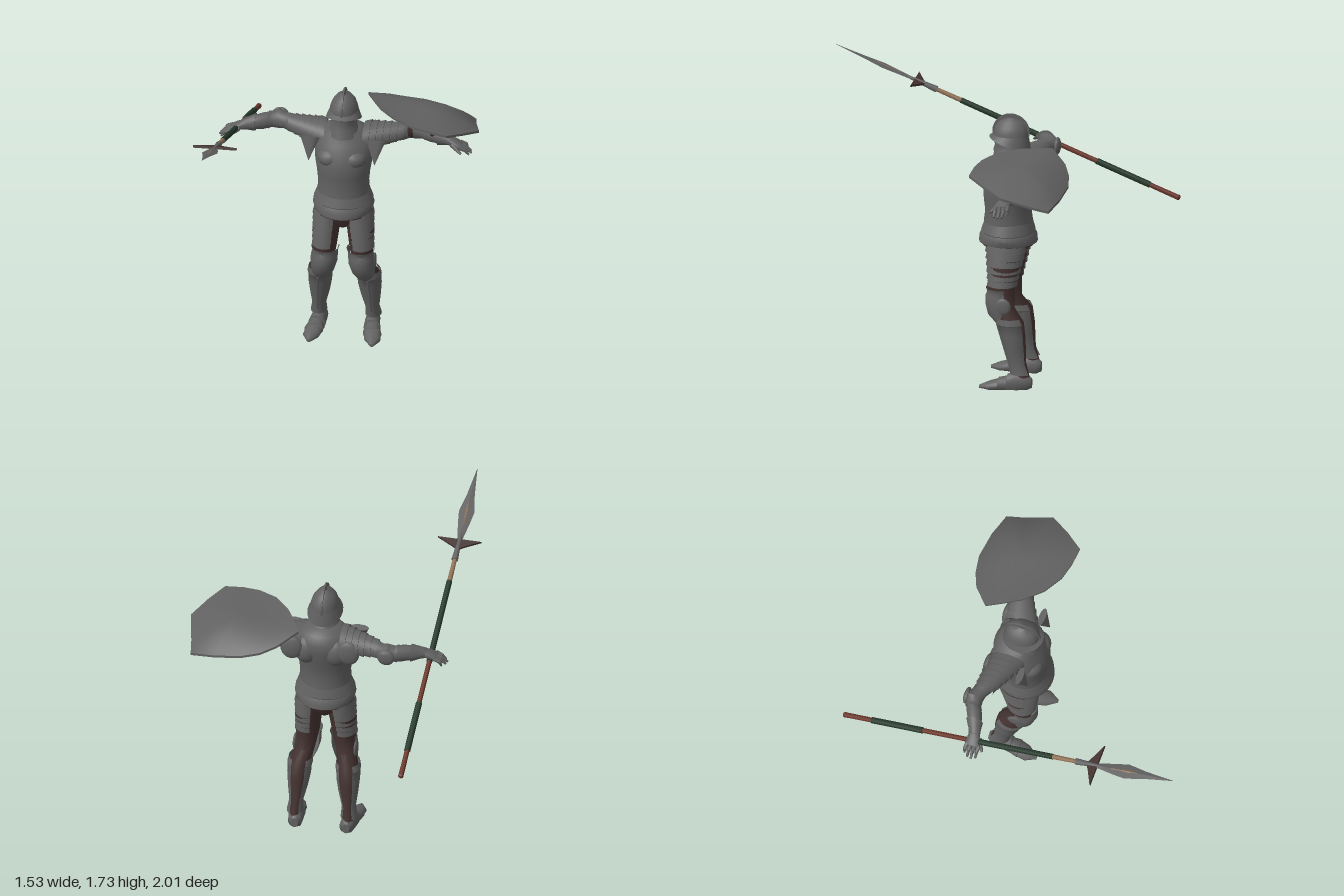
import * as THREE from 'three';
import { mergeVertices, toCreasedNormals } from 'three/addons/utils/BufferGeometryUtils.js';

const PI = Math.PI;
const material = (name, color, side = THREE.FrontSide) => {
  const m = new THREE.MeshStandardMaterial({ color, side });
  m.name = name;
  return m;
};

// Surface through rows of points
function grid(rows) {
  const w = rows[0].length, pos = rows.flat(2), idx = [];
  for (let r = 0; r < rows.length - 1; r++) for (let i = 0; i < w - 1; i++) {
    const a = r * w + i, b = a + w;
    idx.push(a, b, a + 1, a + 1, b, b + 1);
  }
  const g = new THREE.BufferGeometry();
  g.setAttribute('position', new THREE.Float32BufferAttribute(pos, 3));
  g.setIndex(idx);
  return g;
}

// Elliptical sections [x, y, z, r1, r2] stacked along an axis; a0..a1 leaves part of the ring open
function loft(secs, { axis = 'y', n = 24, a0 = 0, a1 = 2 * PI, cap = a1 - a0 > 6.2 } = {}) {
  const ring = ([x, y, z, p, q]) => Array.from({ length: n + 1 }, (_, i) => {
    const a = a0 + (a1 - a0) * i / n, c = p * Math.cos(a), s = q * Math.sin(a);
    return axis === 'y' ? [x + c, y, z + s] : axis === 'x' ? [x, y + c, z - s] : [x + c, y - s, z];
  });
  const ends = ([x, y, z]) => ring([x, y, z, 0, 0]);
  const rows = secs.map(ring);
  if (cap) { rows.unshift(ends(secs[0])); rows.push(ends(secs.at(-1))); }
  return grid(rows);
}

// Overlapping plates between two sections; the first edge of each plate flares outward
function lames(from, to, count, flare = 1.08) {
  const out = [];
  for (let i = 0; i < count; i++) for (const [t, f] of [[i / count, flare], [(i + 1) / count, 0.98]])
    out.push(from.map((v, k) => (v + (to[k] - v) * t) * (k > 2 ? f : 1)));
  return out;
}

// Tapered rod between two points
function rod(a, b, r0, r1, n = 10) {
  const A = new THREE.Vector3(...a), d = new THREE.Vector3(...b).sub(A);
  const g = new THREE.CylinderGeometry(r1, r0, d.length(), n).translate(0, d.length() / 2, 0);
  g.applyQuaternion(new THREE.Quaternion().setFromUnitVectors(new THREE.Vector3(0, 1, 0), d.normalize()));
  return g.translate(...a);
}

const ball = (x, y, z, rx, ry, rz) => new THREE.SphereGeometry(1, 20, 12).scale(rx, ry, rz).translate(x, y, z);

function finish(geo, mirrored, crease) {
  let g = geo.clone();
  g.deleteAttribute('uv');
  g.deleteAttribute('normal');
  g = mergeVertices(g, 1e-5);
  if (mirrored) g.scale(-1, 1, 1);
  const src = g.index.array, idx = [];
  for (let i = 0; i < src.length; i += 3) {
    const [a, b, c] = src.slice(i, i + 3);
    if (a !== b && b !== c && a !== c) idx.push(...(mirrored ? [a, c, b] : [a, b, c]));
  }
  g.setIndex(idx);
  return toCreasedNormals(g, crease);
}

export function createModel() {
  const model = new THREE.Group();
  const steel = material('steel', 0x616161, THREE.DoubleSide);
  const cloth = material('dark brown cloth', 0x443331, THREE.DoubleSide);
  const red = material('red shaft', 0x6a362b);
  const green = material('green grip', 0x26382b);
  const tan = material('tan wood', 0x8f7155);
  const dark = material('dark slit', 0x262626);

  const add = (name, geo, mat, parent = model, mirrored = false, crease = 0.7) => {
    const m = new THREE.Mesh(finish(geo, mirrored, crease), mat);
    m.name = name;
    parent.add(m);
  };
  const pair = (name, geo, mat) => {
    add(name + 'Left', geo, mat);
    add(name + 'Right', geo, mat, model, true);
  };

  // Torso: pelvis, skirt plates, breastplate
  add('pelvis', loft([[0, 0.73, -0.125, 0.04, 0.06], [0, 0.78, -0.13, 0.12, 0.1], [0, 0.88, -0.13, 0.15, 0.13]]), cloth);
  add('skirtPlates', loft([[0, 0.84, -0.125, 0.165, 0.168], [0, 0.875, -0.125, 0.176, 0.165],
    [0, 0.9, -0.125, 0.166, 0.152], [0, 0.905, -0.125, 0.172, 0.155], [0, 0.985, -0.128, 0.142, 0.13]], { n: 32, cap: false }), steel);
  add('breastplate', loft([[0, 0.96, -0.125, 0.15, 0.14], [0, 1.02, -0.125, 0.146, 0.132], [0, 1.09, -0.127, 0.153, 0.142],
    [0, 1.15, -0.132, 0.163, 0.15], [0, 1.22, -0.15, 0.17, 0.152], [0, 1.28, -0.168, 0.165, 0.138],
    [0, 1.33, -0.17, 0.13, 0.11], [0, 1.36, -0.155, 0.08, 0.085]], { n: 32 }), steel);
  pair('chestMuscle', ball(0.068, 1.195, -0.07, 0.075, 0.06, 0.075), steel);
  pair('shoulderBlade', ball(0.085, 1.22, -0.24, 0.075, 0.09, 0.065), steel);
  add('belt', loft([[0, 0.825, -0.125, 0.163, 0.15], [0, 0.85, -0.125, 0.163, 0.15]]), cloth);

  // Neck, face and open helmet
  add('throatGuard', loft([...lames([0, 1.32, -0.145, 0.085, 0.1], [0, 1.41, -0.13, 0.066, 0.085], 3),
    [0, 1.44, -0.128, 0.066, 0.084]]), steel);
  add('face', ball(0, 1.46, -0.13, 0.062, 0.075, 0.075), steel);
  pair('eyeSlit', new THREE.BoxGeometry(0.034, 0.008, 0.008).rotateY(0.3).translate(0.026, 1.465, -0.058), dark);
  add('helmetBowl', loft([[0, 1.45, -0.14, 0.084, 0.102], [0, 1.49, -0.14, 0.08, 0.1], [0, 1.525, -0.14, 0.068, 0.09],
    [0, 1.555, -0.14, 0.046, 0.065], [0, 1.575, -0.14, 0.012, 0.02]], { cap: false }), steel);
  const brim = loft([[0, 1.425, -0.135, 0.102, 0.12], [0, 1.475, -0.14, 0.082, 0.1]], { cap: false });
  const bp = brim.attributes.position;
  for (let i = 0; i < bp.count; i++) if (bp.getY(i) < 1.45) bp.setY(i, 1.425 + 0.32 * (bp.getZ(i) + 0.135));
  add('helmetBrim', brim, steel);
  add('helmetComb', new THREE.CylinderGeometry(1, 1, 0.01, 28).rotateZ(PI / 2).scale(1, 0.108, 0.108).translate(0, 1.49, -0.14), steel);

  // Legs: cloth under plates that stay open at the back and inside
  pair('legCloth', loft([[0.155, 0.06, -0.235, 0.03, 0.045], [0.15, 0.15, -0.212, 0.035, 0.044], [0.145, 0.3, -0.185, 0.058, 0.066],
    [0.14, 0.39, -0.165, 0.06, 0.075], [0.118, 0.47, -0.12, 0.056, 0.062], [0.105, 0.58, -0.105, 0.066, 0.078],
    [0.1, 0.7, -0.12, 0.077, 0.093], [0.085, 0.83, -0.13, 0.078, 0.11]]), cloth);
  pair('thighPlates', loft(lames([0.105, 0.6, -0.108, 0.07, 0.08], [0.087, 0.84, -0.13, 0.083, 0.116], 6),
    { a0: -0.6 * PI, a1: 0.68 * PI }), steel);
  pair('kneePlate', loft([[0.128, 0.38, -0.125, 0.05, 0.045], [0.118, 0.43, -0.105, 0.066, 0.075], [0.108, 0.49, -0.1, 0.075, 0.088],
    [0.104, 0.54, -0.1, 0.074, 0.087], [0.102, 0.56, -0.1, 0.072, 0.078], [0.102, 0.585, -0.1, 0.08, 0.085]],
    { a0: -0.12 * PI, a1: 1.12 * PI }), steel);
  pair('kneeWing', ball(0.177, 0.49, -0.125, 0.012, 0.05, 0.045), steel);
  pair('shinPlate', loft([[0.157, 0.09, -0.225, 0.047, 0.06], [0.153, 0.15, -0.207, 0.04, 0.052], [0.147, 0.24, -0.192, 0.057, 0.064],
    [0.143, 0.32, -0.178, 0.068, 0.075], [0.141, 0.38, -0.165, 0.069, 0.08], [0.14, 0.385, -0.163, 0.073, 0.085],
    [0.138, 0.42, -0.155, 0.068, 0.076]], { a0: -0.32 * PI, a1: 1.3 * PI }), steel);
  pair('shinRidge', rod([0.155, 0.13, -0.16], [0.143, 0.38, -0.085], 0.005, 0.007, 6), steel);

  // Feet: plated shoes flattened on the ground
  const shoe = loft([[0.15, 0.035, -0.288, 0.022, 0.03], [0.15, 0.035, -0.265, 0.04, 0.05], [0.155, 0.035, -0.2, 0.044, 0.07],
    [0.16, 0.03, -0.15, 0.049, 0.055], [0.162, 0.026, -0.148, 0.045, 0.048], [0.168, 0.024, -0.1, 0.054, 0.04],
    [0.168, 0.022, -0.098, 0.05, 0.035], [0.176, 0.015, -0.05, 0.047, 0.028], [0.182, 0.008, 0.01, 0.01, 0.01]], { axis: 'z' });
  const sp = shoe.attributes.position;
  for (let i = 0; i < sp.count; i++) sp.setY(i, Math.max(0, sp.getY(i)));
  pair('shoe', shoe, steel);

  // Arms: cloth sleeve, shoulder lames, elbow, forearm, gauntlet
  pair('sleeve', loft([[0.12, 1.265, -0.19, 0.075, 0.08], [0.22, 1.275, -0.215, 0.058, 0.062], [0.32, 1.282, -0.255, 0.045, 0.046],
    [0.4, 1.285, -0.29, 0.04, 0.04], [0.48, 1.28, -0.265, 0.04, 0.04], [0.6, 1.272, -0.22, 0.026, 0.028]], { axis: 'x' }), cloth);
  pair('shoulderPlates', loft(lames([0.335, 1.285, -0.258, 0.05, 0.053], [0.11, 1.275, -0.185, 0.085, 0.105], 6, 1.1),
    { axis: 'x', a0: -0.68 * PI, a1: 0.68 * PI }), steel);
  pair('shoulderFrontWing', new THREE.ConeGeometry(0.055, 0.14, 12).scale(1, 1, 0.4).rotateX(PI - 0.35).translate(0.19, 1.235, -0.065), steel);
  pair('shoulderBackWing', ball(0.165, 1.25, -0.29, 0.065, 0.075, 0.025), steel);
  pair('elbowPlate', loft([[0.33, 1.285, -0.26, 0.052, 0.05], [0.365, 1.285, -0.28, 0.047, 0.048], [0.4, 1.286, -0.295, 0.058, 0.056],
    [0.435, 1.284, -0.283, 0.046, 0.046], [0.455, 1.283, -0.275, 0.053, 0.05]], { axis: 'x', a0: -0.8 * PI, a1: 0.8 * PI }), steel);
  pair('elbowWing', ball(0.395, 1.285, -0.335, 0.05, 0.05, 0.02), steel);
  pair('forearmPlate', loft([[0.44, 1.283, -0.28, 0.045, 0.045], [0.48, 1.281, -0.262, 0.049, 0.047], [0.53, 1.278, -0.243, 0.042, 0.042],
    [0.57, 1.275, -0.23, 0.034, 0.035]], { axis: 'x' }), steel);
  pair('gauntletCuff', loft([[0.525, 1.278, -0.245, 0.052, 0.05], [0.575, 1.275, -0.228, 0.036, 0.037], [0.605, 1.27, -0.218, 0.028, 0.034]],
    { axis: 'x' }), steel);
  pair('palm', loft([[0.59, 1.272, -0.222, 0.025, 0.03], [0.63, 1.263, -0.212, 0.023, 0.042], [0.668, 1.248, -0.208, 0.016, 0.042]],
    { axis: 'x' }), steel);
  for (let i = 0; i < 4; i++) {
    const z = -0.242 + i * 0.023, reach = [0.7, 0.722, 0.728, 0.715][i];
    pair('fingerBase' + i, rod([0.655, 1.252, z], [0.69, 1.238, z * 1.02], 0.013, 0.011), steel);
    pair('fingerTip' + i, rod([0.688, 1.24, z * 1.02], [reach, 1.212, z * 1.02 + 0.003], 0.011, 0.006), steel);
  }
  pair('thumb', rod([0.615, 1.262, -0.185], [0.672, 1.225, -0.148], 0.016, 0.007), steel);

  // Shield: domed plate carried above the left arm, with underside and straps
  const edge = [[0.1, 1.44, -0.4], [0.21, 1.385, -0.495], [0.3, 1.35, -0.532], [0.41, 1.325, -0.55], [0.57, 1.295, -0.53], [0.71, 1.265, -0.49],
    [0.727, 1.29, -0.39], [0.765, 1.345, -0.225], [0.69, 1.385, -0.11], [0.61, 1.42, -0.01], [0.5, 1.435, -0.02], [0.4, 1.445, -0.045],
    [0.29, 1.455, -0.11], [0.2, 1.455, -0.21], [0.15, 1.45, -0.3], [0.1, 1.44, -0.4]];
  const core = [0.44, 1.435, -0.29];
  const shieldRow = (t, drop) => edge.map(([x, y, z]) => [core[0] + (x - core[0]) * t,
    core[1] + (y - core[1]) * t * t - drop, core[2] + (z - core[2]) * t]);
  const steps = [0, 0.25, 0.5, 0.75, 0.9, 1];
  add('shield', grid([...steps.map(t => shieldRow(t, 0)), ...steps.toReversed().map(t => shieldRow(t, 0.014))]), steel);
  for (const x of [0.37, 0.5])
    add('shieldStrap', new THREE.TorusGeometry(0.062, 0.008, 6, 20).rotateY(PI / 2).scale(2, 1.25, 1).translate(-x, 1.335, -0.27)
      .translate(2 * x, 0, 0), cloth);

  // Spear: built along its own y axis, then laid through the right hand
  const spear = new THREE.Group();
  spear.name = 'spear';
  spear.position.set(-0.622, 0.938, -1);
  spear.quaternion.setFromUnitVectors(new THREE.Vector3(0, 1, 0), new THREE.Vector3(-0.0125, 0.397, 1).normalize());
  model.add(spear);
  const along = z => (z + 1) * 1.076;
  const shaft = (name, z0, z1, r0, r1, mat) => add(name, rod([0, along(z0), 0], [0, along(z1), 0], r0, r1, 14), mat, spear);
  shaft('shaftButt', -0.995, -0.83, 0.015, 0.014, red);
  shaft('rearGrip', -0.83, -0.52, 0.018, 0.018, green);
  shaft('shaftMiddle', -0.52, -0.25, 0.014, 0.014, red);
  shaft('frontGrip', -0.25, 0.27, 0.017, 0.016, green);
  shaft('shaftNeck', 0.27, 0.42, 0.014, 0.012, tan);
  shaft('socket', 0.41, 0.49, 0.019, 0.014, steel);
  shaft('socketNeck', 0.49, 0.6, 0.014, 0.006, steel);
  add('buttCap', ball(0, along(-0.993), 0, 0.016, 0.013, 0.016), red, spear);
  const wing = new THREE.Shape([[-0.126, along(0.54)], [-0.04, along(0.498)], [0, along(0.475)], [0.04, along(0.498)],
    [0.126, along(0.54)]].map(p => new THREE.Vector2(...p)));
  add('crossWings', new THREE.ExtrudeGeometry(wing, { depth: 0.014, bevelEnabled: false }).translate(0, 0, -0.007), cloth, spear);
  const leaf = (z0, zm, z1, w, t) => loft([[0, along(z0), 0, w * 0.28, t], [0, along(zm - (zm - z0) * 0.4), 0, w * 0.75, t],
    [0, along(zm), 0, w, t], [0, along(zm + (z1 - zm) * 0.4), 0, w * 0.5, t * 0.8], [0, along(z1), 0, 0.001, 0.001]], { n: 4 });
  add('blade', leaf(0.53, 0.72, 1, 0.045, 0.007), steel, spear, false, 0.2);
  add('bladeInlay', leaf(0.62, 0.73, 0.85, 0.022, 0.0085), tan, spear, false, 0.2);
  return model;
}
